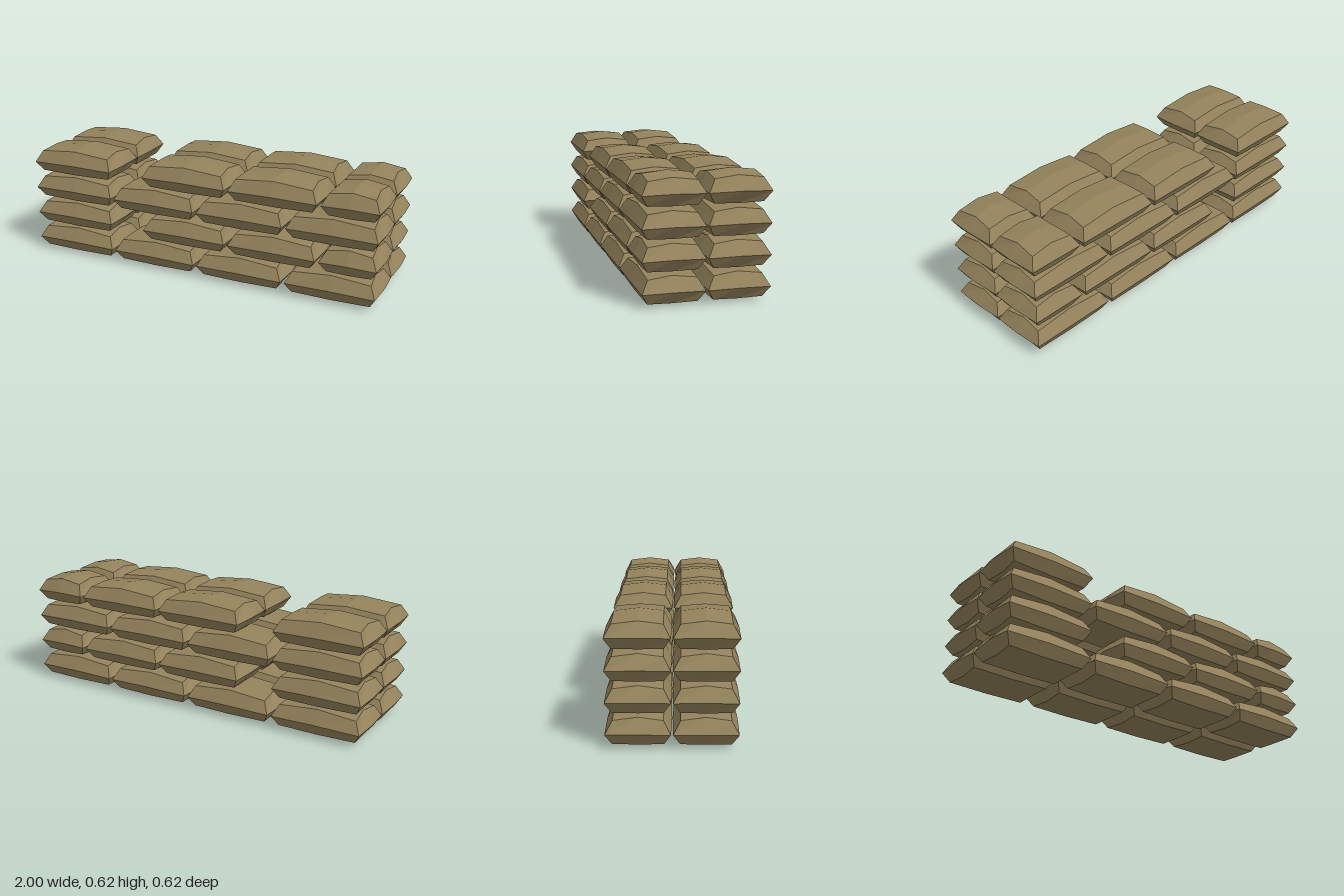
import * as THREE from 'three';

// Half sizes of a full bag: length, depth
const HX = 0.25, HZ = 0.155, INSET = 0.042;

// Puffy low-poly bag: 3x3 top, 8-point seam ring, 3x3 bottom
function bagGeometry(hx) {
  const pos = [];
  // Heights for corner, long-edge middle, short-edge middle and centre
  const pick = (i, k, [corner, longMid, shortMid, centre]) =>
    i && k ? corner : k ? longMid : i ? shortMid : centre;
  const top = (i, k) => [i * (hx - INSET - (k ? 0 : 0.012)), pick(i, k, [0.055, 0.073, 0.067, 0.087]), k * (HZ - 0.038)];
  const bottom = (i, k) => [i * (hx - INSET - (k ? 0 : 0.008)), pick(i, k, [-0.058, -0.062, -0.063, -0.078]), k * (HZ - 0.036)];
  const seam = (i, k) => [i * (hx - (k ? 0.011 : 0)), i && k ? -0.005 : 0, k * (HZ - (i ? 0.004 : 0))];
  const quad = (a, b, c, d) => pos.push(...a, ...b, ...c, ...a, ...c, ...d);

  // Top and bottom cushions
  for (const i of [-1, 0]) {
    for (const k of [-1, 0]) {
      quad(top(i, k), top(i, k + 1), top(i + 1, k + 1), top(i + 1, k));
      quad(bottom(i, k), bottom(i + 1, k), bottom(i + 1, k + 1), bottom(i, k + 1));
    }
  }
  // Sloping sides above and below the seam
  const ring = [[-1, 1], [0, 1], [1, 1], [1, 0], [1, -1], [0, -1], [-1, -1], [-1, 0]];
  ring.forEach((p, n) => {
    const q = ring[(n + 1) % ring.length];
    quad(seam(...p), seam(...q), top(...q), top(...p));
    quad(bottom(...p), bottom(...q), seam(...q), seam(...p));
  });

  const g = new THREE.BufferGeometry();
  g.setAttribute('position', new THREE.Float32BufferAttribute(pos, 3));
  g.computeVertexNormals();
  return g;
}

export function createModel() {
  const group = new THREE.Group();
  group.name = 'sandbagWall';
  const burlap = new THREE.MeshStandardMaterial({ color: 0x93825b, flatShading: true });
  burlap.name = 'burlap';

  const fullBag = bagGeometry(HX);
  const shortBag = bagGeometry(0.16);

  // Alternating courses: even ones are closed, odd ones leave a gap and end in a short bag
  const evenCourse = [-0.75, -0.25, 0.25, 0.75].map((x) => [x, fullBag]);
  const oddCourse = [[-0.75, fullBag], [-0.07, fullBag], [0.43, fullBag], [0.84, shortBag]];

  for (let row = 0; row < 4; row++) {
    const course = new THREE.Group();
    course.name = `course${row + 1}`;
    for (const [x, geometry] of row % 2 ? oddCourse : evenCourse) {
      for (const side of [1, -1]) {
        const bag = new THREE.Mesh(geometry, burlap);
        bag.name = side > 0 ? 'frontSandbag' : 'backSandbag';
        bag.position.set(x, 0.079 + row * 0.15, side * 0.156);
        course.add(bag);
      }
    }
    group.add(course);
  }
  return group;
}
